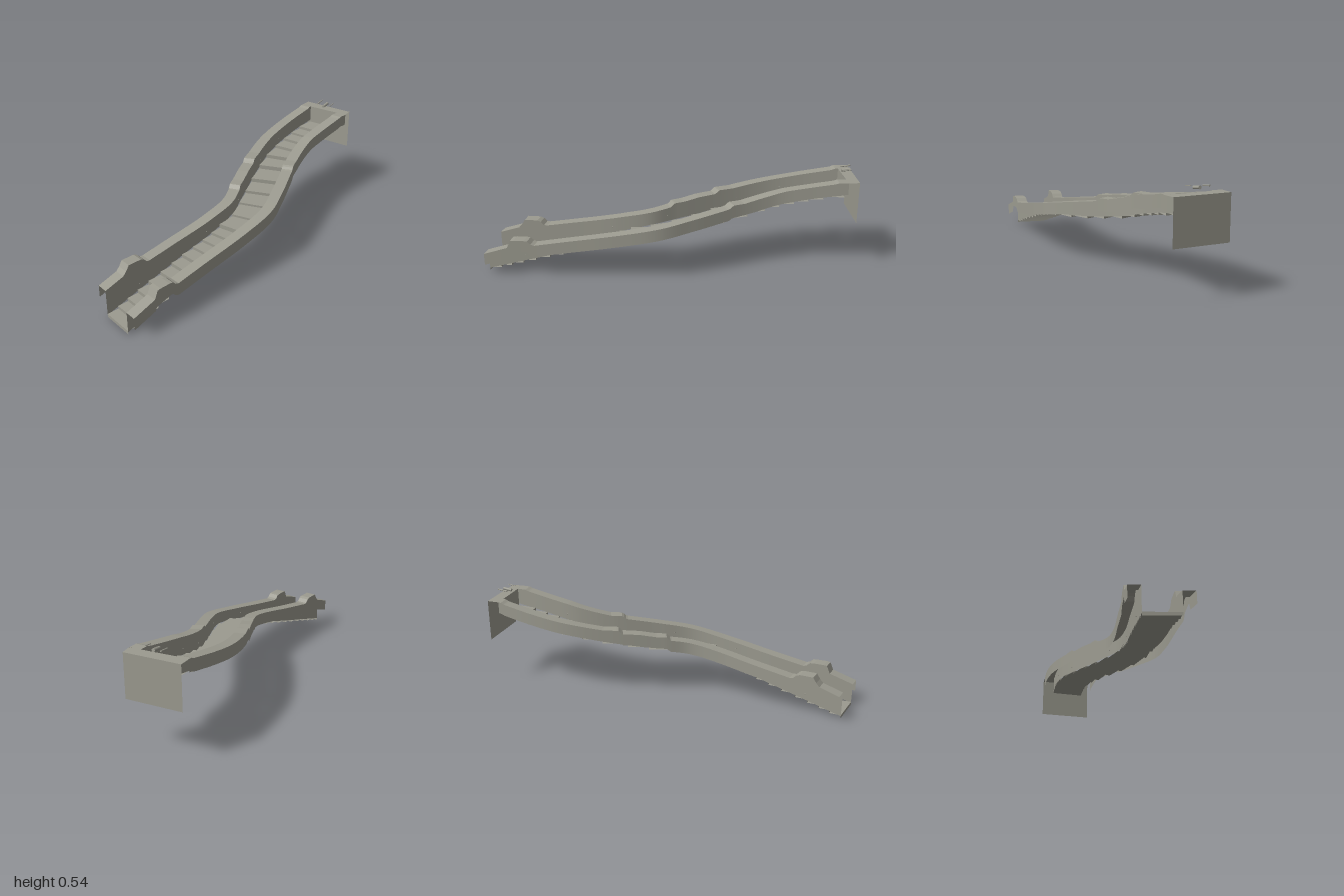
import * as THREE from 'three';

const stone = new THREE.MeshStandardMaterial({ color: 0x9c9b90, side: THREE.DoubleSide });
stone.name = 'warm grey stone';

// Matching stations along the two inner edges of the stair: [rightX, rightZ, leftX, leftZ]
const stations = [
  [-0.275, -0.895, -0.09, -0.93], [-0.262, -0.70, -0.077, -0.73], [-0.238, -0.54, -0.061, -0.58],
  [-0.205, -0.425, -0.041, -0.50], [-0.136, -0.265, 0.016, -0.355], [-0.003, -0.016, 0.154, -0.10],
  [0.07, 0.12, 0.228, 0.06], [0.095, 0.29, 0.252, 0.27], [0.096, 0.556, 0.26, 0.556], [0.1, 0.99, 0.28, 1.0],
];
const rightEdge = new THREE.CatmullRomCurve3(stations.map((s) => new THREE.Vector3(s[0], 0, s[1])));
const leftEdge = new THREE.CatmullRomCurve3(stations.map((s) => new THREE.Vector3(s[2], 0, s[3])));

// Height profiles as [z, y]
const rightTop = [[-0.935, 0.497], [-0.88, 0.497], [-0.86, 0.488], [-0.6, 0.44], [-0.31, 0.39], [-0.235, 0.388],
  [-0.215, 0.368], [-0.13, 0.362], [-0.05, 0.347], [0, 0.345], [0.02, 0.325], [0.25, 0.288], [0.46, 0.25],
  [0.73, 0.205], [0.76, 0.235], [0.85, 0.235], [0.87, 0.19], [1, 0.15]];
const leftTop = [[-0.935, 0.497], [-0.88, 0.497], [-0.86, 0.49], [-0.6, 0.444], [-0.36, 0.387], [-0.3, 0.385],
  [-0.28, 0.366], [-0.05, 0.325], [0.1, 0.297], [0.25, 0.268], [0.46, 0.23], [0.73, 0.183], [0.76, 0.21],
  [0.85, 0.21], [0.87, 0.165], [1, 0.125]];
const stairLine = [[-0.92, 0.395], [-0.75, 0.37], [-0.6, 0.34], [-0.48, 0.315], [-0.4, 0.293], [-0.27, 0.27],
  [-0.15, 0.25], [0, 0.234], [0.1, 0.224], [0.22, 0.2], [0.433, 0.152], [0.6, 0.106], [0.775, 0.06], [0.995, 0]];

function heightAt(profile, z) {
  if (z <= profile[0][0]) return profile[0][1];
  for (let i = 1; i < profile.length; i++) {
    const [z0, y0] = profile[i - 1], [z1, y1] = profile[i];
    if (z <= z1) return y0 + ((y1 - y0) * (z - z0)) / (z1 - z0);
  }
  return profile[profile.length - 1][1];
}

// Faceted sheet between two rows of points
function ribbon(name, rowA, rowB) {
  const pos = [], index = [];
  rowA.forEach((a, i) => {
    pos.push(...a.toArray(), ...rowB[i].toArray());
    if (i) index.push(2 * i - 2, 2 * i - 1, 2 * i, 2 * i, 2 * i - 1, 2 * i + 1);
  });
  const indexed = new THREE.BufferGeometry();
  indexed.setAttribute('position', new THREE.Float32BufferAttribute(pos, 3));
  indexed.setIndex(index);
  const geometry = indexed.toNonIndexed();
  geometry.computeVertexNormals();
  const mesh = new THREE.Mesh(geometry, stone);
  mesh.name = name;
  return mesh;
}

const at = (p, y) => new THREE.Vector3(p.x, y, p.z);
const centreZ = (t) => (rightEdge.getPoint(t).z + leftEdge.getPoint(t).z) / 2;

// Curve parameter whose centre lies at a given z
function paramAt(z) {
  let lo = 0, hi = 1;
  for (let i = 0; i < 30; i++) {
    const mid = (lo + hi) / 2;
    if (centreZ(mid) < z) lo = mid; else hi = mid;
  }
  return (lo + hi) / 2;
}

// Balustrade: inner wall, flat coping and a short outer skirt
function balustrade(name, edge, other, profile) {
  const rows = { foot: [], inner: [], outer: [], hem: [] };
  const n = 220;
  for (let i = 0; i <= n; i++) {
    const t = i / n, p = edge.getPoint(t);
    const out = p.clone().sub(other.getPoint(t)).setLength(0.062).add(p);
    const y = heightAt(profile, p.z);
    rows.foot.push(at(p, heightAt(stairLine, centreZ(t)) + 0.012));
    rows.inner.push(at(p, y));
    rows.outer.push(at(out, y));
    rows.hem.push(at(out, y - 0.066));
  }
  const group = new THREE.Group();
  group.name = name;
  group.add(ribbon('innerWall', rows.foot, rows.inner), ribbon('coping', rows.inner, rows.outer),
    ribbon('outerSkirt', rows.outer, rows.hem));
  // Small studs on the inner wall
  for (const t of [0.2, 0.4, 0.6, 0.8, 0.95]) {
    const p = edge.getPoint(t);
    const stud = new THREE.Mesh(new THREE.SphereGeometry(0.003, 8, 6), stone);
    stud.name = 'wallStud';
    stud.position.copy(at(p, heightAt(stairLine, centreZ(t)) + 0.045));
    group.add(stud);
  }
  return group;
}

// Steps: risers and treads fanned along the curve
function steps() {
  const risers = [0.995, 0.93, 0.87, 0.805, 0.735, 0.655, 0.58, 0.505, 0.43, 0.36, 0.29, 0.22, 0.1,
    -0.02, -0.13, -0.235, -0.36, -0.46, -0.555, -0.64, -0.72, -0.8, -0.9125];
  const a = [], b = [];
  risers.forEach((z, k) => {
    const t = paramAt(z), r = rightEdge.getPoint(t), l = leftEdge.getPoint(t);
    const levels = [heightAt(stairLine, z)];
    if (k < risers.length - 1) levels.push(heightAt(stairLine, risers[k + 1]));
    for (const y of levels) {
      a.push(at(r, y));
      b.push(at(l, y));
    }
  });
  return ribbon('steps', a, b);
}

export function createModel() {
  const model = new THREE.Group();
  model.name = 'curvedStaircase';
  model.add(balustrade('rightBalustrade', rightEdge, leftEdge, rightTop));
  model.add(balustrade('leftBalustrade', leftEdge, rightEdge, leftTop));
  model.add(steps());

  // Head of the stair: inner panel, top ledge and large back plate
  const v = (x, y, z) => new THREE.Vector3(x, y, z);
  const r = rightEdge.getPoint(0), l = leftEdge.getPoint(0), top = 0.497;
  model.add(ribbon('headPanel', [at(r, 0.394), at(l, 0.394)], [at(r, top), at(l, top)]));
  const backR = v(-0.345, top, -0.95), backL = v(-0.045, top, -1);
  model.add(ribbon('topLedge', [v(-0.336, top, -0.883), v(-0.029, top, -0.942)], [backR, backL]));
  model.add(ribbon('backPlate', [backR, backL], [at(backR, 0.263), at(backL, 0.263)]));

  // Three small rods above the ledge
  for (const [x, y, z, radius, length] of [[-0.231, 0.53, -0.93, 0.004, 0.055],
    [-0.185, 0.523, -0.93, 0.0085, 0.05], [-0.14, 0.534, -0.935, 0.0025, 0.045]]) {
    const rod = new THREE.Mesh(new THREE.CylinderGeometry(radius, radius, length, 12), stone);
    rod.name = 'ledgeRod';
    rod.position.set(x, y, z);
    rod.quaternion.setFromUnitVectors(v(0, 1, 0), v(0.17, -0.14, 1).normalize());
    model.add(rod);
  }
  return model;
}
